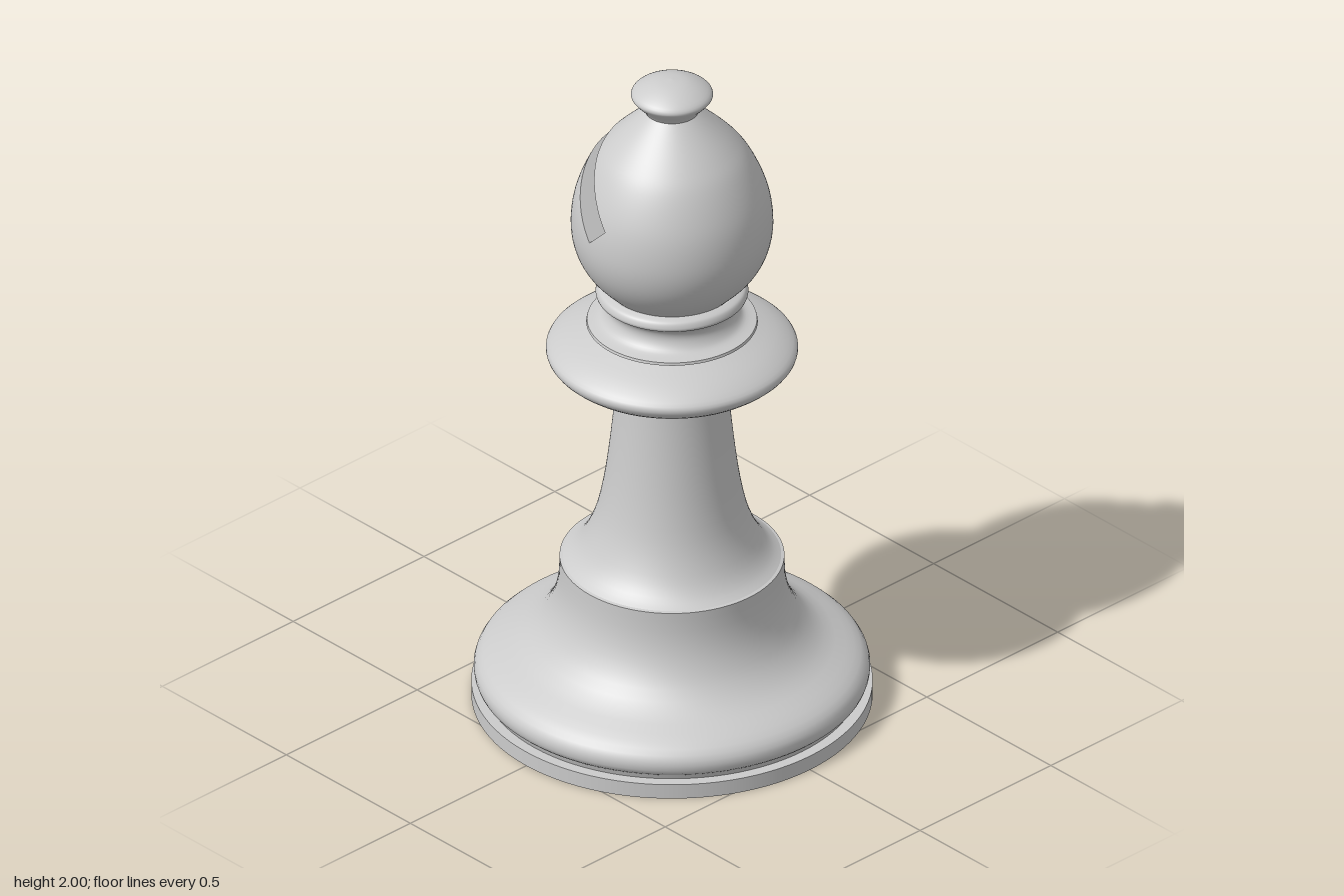
import * as THREE from 'three';
import { mergeGeometries } from 'three/addons/utils/BufferGeometryUtils.js';

const SEGMENTS = 96;
const material = new THREE.MeshStandardMaterial({ color: 0xcccccc });

// Smooth profile through a few [radius, height] points
function smooth(points, steps = 20) {
  const curve = new THREE.SplineCurve(points.map(([r, y]) => new THREE.Vector2(r, y)));
  return curve.getPoints(steps).map((p) => p.setX(Math.max(p.x, 0)));
}

// Turned part: every section is lathed on its own, so edges between them stay sharp
function turned(name, sections) {
  const parts = sections.map((s) => new THREE.LatheGeometry(s.length > 2 ? smooth(s) : smooth(s, 1), SEGMENTS));
  const mesh = new THREE.Mesh(mergeGeometries(parts), material);
  mesh.name = name;
  return mesh;
}

// Head profile and its radius at a height
const headProfile = smooth([[0.175, 1.33], [0.235, 1.395], [0.27, 1.465], [0.281, 1.545],
  [0.267, 1.64], [0.224, 1.74], [0.17, 1.81], [0.07, 1.905]], 44);
function headRadius(y) {
  const i = headProfile.findIndex((p) => p.y >= y);
  if (i < 1) return 0;
  const a = headProfile[i - 1], b = headProfile[i];
  return a.x + (b.x - a.x) * (y - a.y) / (b.y - a.y);
}

// Slot frame: s runs across the slot, t runs down into it, both at 45 degrees
const SLOT = { low: -0.053, high: 0.027, floor: -0.004, y: 1.6 };
const across = (p) => (p.x + p.y - SLOT.y) * Math.SQRT1_2;
const along = (p) => (p.x - p.y + SLOT.y) * Math.SQRT1_2;
const slotPoint = (s, t, z = 0) =>
  new THREE.Vector3((s + t) * Math.SQRT1_2, SLOT.y + (s - t) * Math.SQRT1_2, z);

// Squared half depth of the head in z at a slot position
function depthSquared(s, t) {
  const p = slotPoint(s, t);
  return headRadius(p.y) ** 2 - p.x ** 2;
}

// Keeps the side of a polygon where f is not negative
function clip(polygon, f) {
  const out = [];
  polygon.forEach((a, i) => {
    const b = polygon[(i + 1) % polygon.length];
    const fa = f(a.p), fb = f(b.p);
    if (fa >= 0) out.push(a);
    if ((fa > 0 && fb < 0) || (fa < 0 && fb > 0)) {
      const k = fa / (fa - fb);
      out.push({ p: a.p.clone().lerp(b.p, k), n: a.n.clone().lerp(b.n, k).normalize() });
    }
  });
  return out;
}

function geometryFrom(positions, normals) {
  const g = new THREE.BufferGeometry();
  g.setAttribute('position', new THREE.Float32BufferAttribute(positions, 3));
  if (normals) g.setAttribute('normal', new THREE.Float32BufferAttribute(normals, 3));
  else g.computeVertexNormals();
  return g;
}

// Outer skin of the head with the slot opening cut away
function headSkin() {
  const g = new THREE.LatheGeometry(headProfile, SEGMENTS).toNonIndexed();
  const { position, normal } = g.attributes;
  const positions = [], normals = [];
  for (let i = 0; i < position.count; i += 3) {
    const triangle = [0, 1, 2].map((j) => ({
      p: new THREE.Vector3().fromBufferAttribute(position, i + j),
      n: new THREE.Vector3().fromBufferAttribute(normal, i + j),
    }));
    const band = clip(clip(triangle, (p) => across(p) - SLOT.low), (p) => SLOT.high - across(p));
    const pieces = [
      clip(triangle, (p) => SLOT.low - across(p)),
      clip(triangle, (p) => across(p) - SLOT.high),
      clip(band, (p) => along(p) - SLOT.floor),
    ];
    for (const piece of pieces) {
      for (let k = 1; k < piece.length - 1; k++) {
        for (const v of [piece[0], piece[k], piece[k + 1]]) {
          positions.push(v.p.x, v.p.y, v.p.z);
          normals.push(v.n.x, v.n.y, v.n.z);
        }
      }
    }
  }
  return geometryFrom(positions, normals);
}

// Flat slot face spanning the head in z along a row of [s, t] stations
function slotFace(stations) {
  const positions = [];
  const rows = stations.map(([s, t]) => {
    const z = Math.sqrt(Math.max(depthSquared(s, t), 0));
    return [slotPoint(s, t, -z), slotPoint(s, t, z)];
  });
  for (let i = 0; i < rows.length - 1; i++) {
    const [a, b] = rows[i], [c, d] = rows[i + 1];
    for (const v of [a, b, c, b, d, c]) positions.push(v.x, v.y, v.z);
  }
  return geometryFrom(positions);
}

// Stations of a slot wall from the outer skin to the slot floor
function wallStations(s, steps = 32) {
  let outside = -0.5, inside = SLOT.floor;
  for (let i = 0; i < 30; i++) {
    const mid = (outside + inside) / 2;
    if (depthSquared(s, mid) > 0) inside = mid; else outside = mid;
  }
  return Array.from({ length: steps + 1 }, (_, i) => {
    const k = Math.cos((i / steps) * Math.PI / 2);
    return [s, SLOT.floor + (inside - SLOT.floor) * k];
  });
}

function slottedHead() {
  const floor = Array.from({ length: 9 }, (_, i) =>
    [SLOT.low + (SLOT.high - SLOT.low) * i / 8, SLOT.floor]);
  const mesh = new THREE.Mesh(mergeGeometries([
    headSkin(),
    slotFace(wallStations(SLOT.low)),
    slotFace(wallStations(SLOT.high).reverse()),
    slotFace(floor),
  ]), material);
  mesh.name = 'slottedHead';
  return mesh;
}

export function createModel() {
  const model = new THREE.Group();
  model.name = 'chessBishop';
  model.add(
    // Foot disc with a shallow recess underneath
    turned('footDisc', [
      [[0, 0.06], [0.387, 0.06]], [[0.387, 0.06], [0.387, 0]], [[0.387, 0], [0.557, 0]],
      [[0.557, 0], [0.557, 0.045]], [[0.557, 0.045], [0.52, 0.045]],
    ]),
    // Flared base with a rounded lip
    turned('base', [
      [[0.525, 0.045], [0.53, 0.06]],
      [[0.53, 0.06], [0.546, 0.075], [0.549, 0.105], [0.53, 0.135], [0.485, 0.162], [0.42, 0.195],
        [0.365, 0.247], [0.33, 0.315], [0.315, 0.385], [0.312, 0.452]],
      [[0.312, 0.452], [0.3, 0.455]],
    ]),
    turned('column', [
      [[0.305, 0.453], [0.275, 0.475], [0.243, 0.52], [0.211, 0.6], [0.188, 0.71],
        [0.17, 0.85], [0.158, 0.98], [0.154, 1.06]],
    ]),
    // Wide collar disc
    turned('collarDisc', [
      [[0.14, 1.05], [0.21, 1.052], [0.29, 1.074], [0.337, 1.105], [0.35, 1.13],
        [0.334, 1.152], [0.285, 1.18], [0.21, 1.208]],
    ]),
    // Waisted neck with a ring above and below
    turned('neck', [
      [[0.2, 1.205], [0.238, 1.213]], [[0.238, 1.213], [0.236, 1.221]],
      [[0.236, 1.221], [0.2, 1.232], [0.182, 1.26], [0.186, 1.287], [0.21, 1.306]],
      [[0.21, 1.306], [0.212, 1.315], [0.205, 1.33], [0.188, 1.338]],
      [[0.188, 1.338], [0.15, 1.338]],
    ]),
    slottedHead(),
    // Small finial on top
    turned('finial', [
      [[0.05, 1.897], [0.073, 1.897]],
      [[0.073, 1.897], [0.085, 1.915], [0.108, 1.94], [0.114, 1.953], [0.104, 1.967],
        [0.075, 1.984], [0.04, 1.996], [0, 2]],
    ]),
  );
  return model;
}
